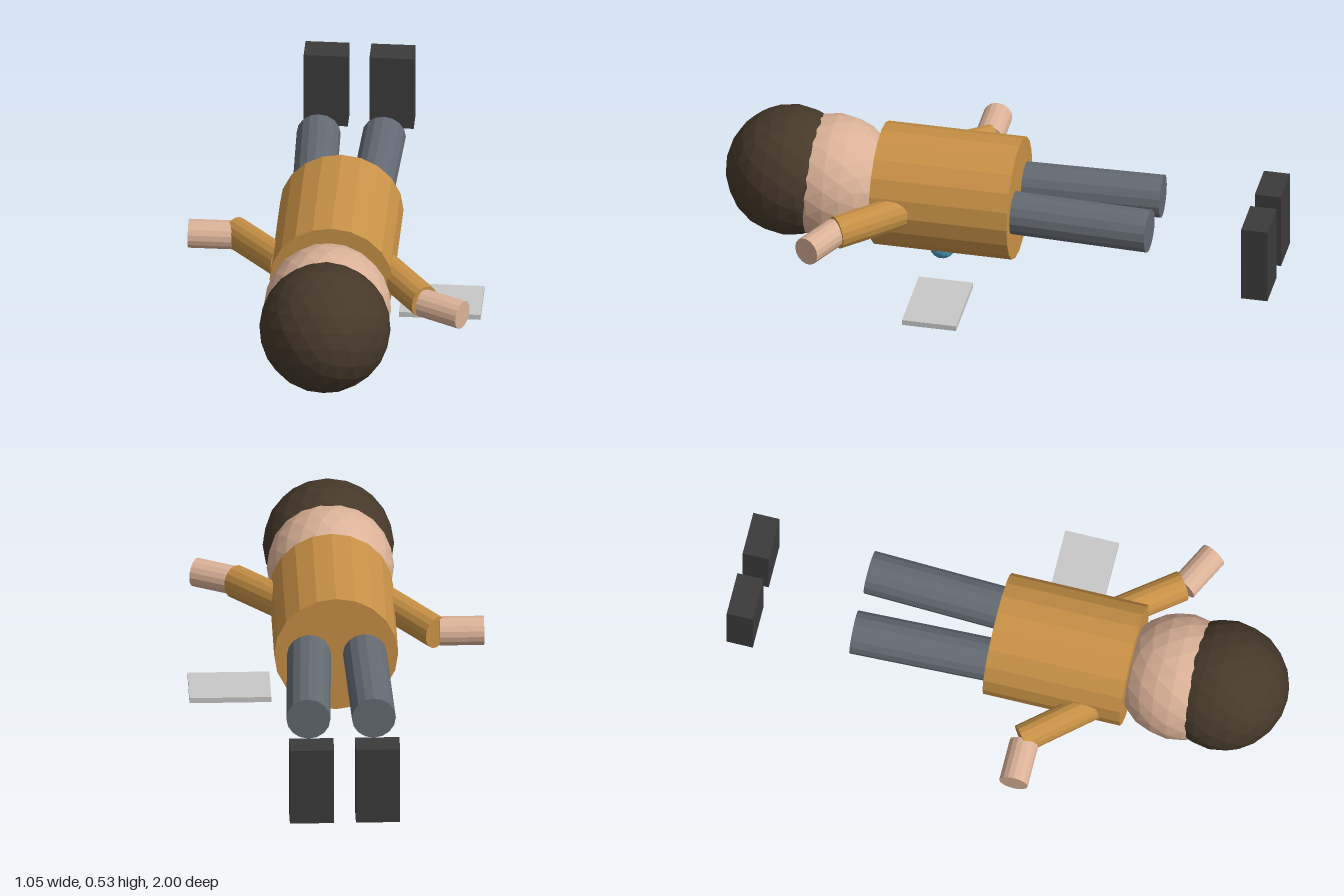
import * as THREE from 'three';

const mat = (name, color) => new THREE.MeshStandardMaterial({ name, color, flatShading: true });

export function createModel() {
  const skin = mat('skin', 0xdbb298);
  const hairBrown = mat('hairBrown', 0x46392a);
  const orange = mat('sweaterOrange', 0xc89146);
  const slate = mat('trouserSlate', 0x646a73);
  const charcoal = mat('shoeCharcoal', 0x3b3b3b);
  const black = mat('eyeBlack', 0x332f2e);
  const mouthBrown = mat('mouthBrown', 0x4a2c20);
  const blue = mat('ballBlue', 0x4a9fc0);
  const grey = mat('tabletGrey', 0xc8c8c8);

  const model = new THREE.Group();
  model.name = 'lyingFigure';

  const add = (name, geometry, material, x = 0, y = 0, z = 0) => {
    const mesh = new THREE.Mesh(geometry, material);
    mesh.name = name;
    mesh.position.set(x, y, z);
    model.add(mesh);
    return mesh;
  };

  // Faceted ball with a vertex pointing along the body
  const ball = (name, r, detail, material, x, y, z) =>
    add(name, new THREE.IcosahedronGeometry(r, detail).rotateX(Math.atan(2 / (1 + Math.sqrt(5)))), material, x, y, z);

  // Cylinder between two points; side and height are its horizontal and vertical radii
  const limb = (name, from, to, side, height, sides, material) => {
    const a = new THREE.Vector3(...from), b = new THREE.Vector3(...to);
    const geometry = new THREE.CylinderGeometry(1, 1, a.distanceTo(b), sides)
      .rotateX(Math.PI / 2).scale(side, height, 1);
    const mid = a.clone().add(b).multiplyScalar(0.5);
    return add(name, geometry, material, mid.x, mid.y, mid.z).lookAt(b);
  };

  // Body, lying face down with the head towards the front
  limb('torso', [0.005, 0.285, -0.06], [0.005, 0.285, 0.44], 0.22, 0.22, 20, orange);
  ball('head', 0.226, 3, skin, 0.003, 0.285, 0.61);
  ball('hair', 0.233, 3, hairBrown, 0.005, 0.295, 0.766);

  // Face on the underside
  for (const [side, x] of [['right', -0.075], ['left', 0.085]]) {
    ball(side + 'Eye', 0.028, 2, black, x, 0.067, 0.64);
  }
  add('mouth', new THREE.BoxGeometry(0.075, 0.018, 0.018), mouthBrown, 0.005, 0.069, 0.555);

  // Sleeves and hands: right arm reaches back, left arm reaches forward
  limb('rightSleeve', [-0.178, 0.29, 0.333], [-0.357, 0.273, 0.117], 0.051, 0.062, 16, orange);
  limb('leftSleeve', [0.167, 0.29, 0.313], [0.341, 0.273, 0.531], 0.054, 0.062, 16, orange);
  limb('rightHand', [-0.368, 0.272, 0.13], [-0.525, 0.272, 0.13], 0.052, 0.052, 16, skin);
  limb('leftHand', [0.336, 0.272, 0.537], [0.482, 0.272, 0.611], 0.05, 0.052, 16, skin);

  // Legs and the shoes set apart behind them
  for (const [side, nearX, farX, shoeX] of [['right', -0.095, -0.112, -0.112], ['left', 0.099, 0.12, 0.122]]) {
    limb(side + 'Leg', [nearX, 0.285, 0], [farX, 0.285, -0.555], 0.078, 0.078, 16, slate);
    add(side + 'Shoe', new THREE.BoxGeometry(0.157, 0.29, 0.095), charcoal, shoeX, 0.245, -0.952);
  }

  // Things under and beside the body
  ball('chestBall', 0.047, 2, blue, 0.005, 0.048, 0.218);
  add('tablet', new THREE.BoxGeometry(0.29, 0.02, 0.196), grey, 0.376, 0.045, 0.158);

  return model;
}
